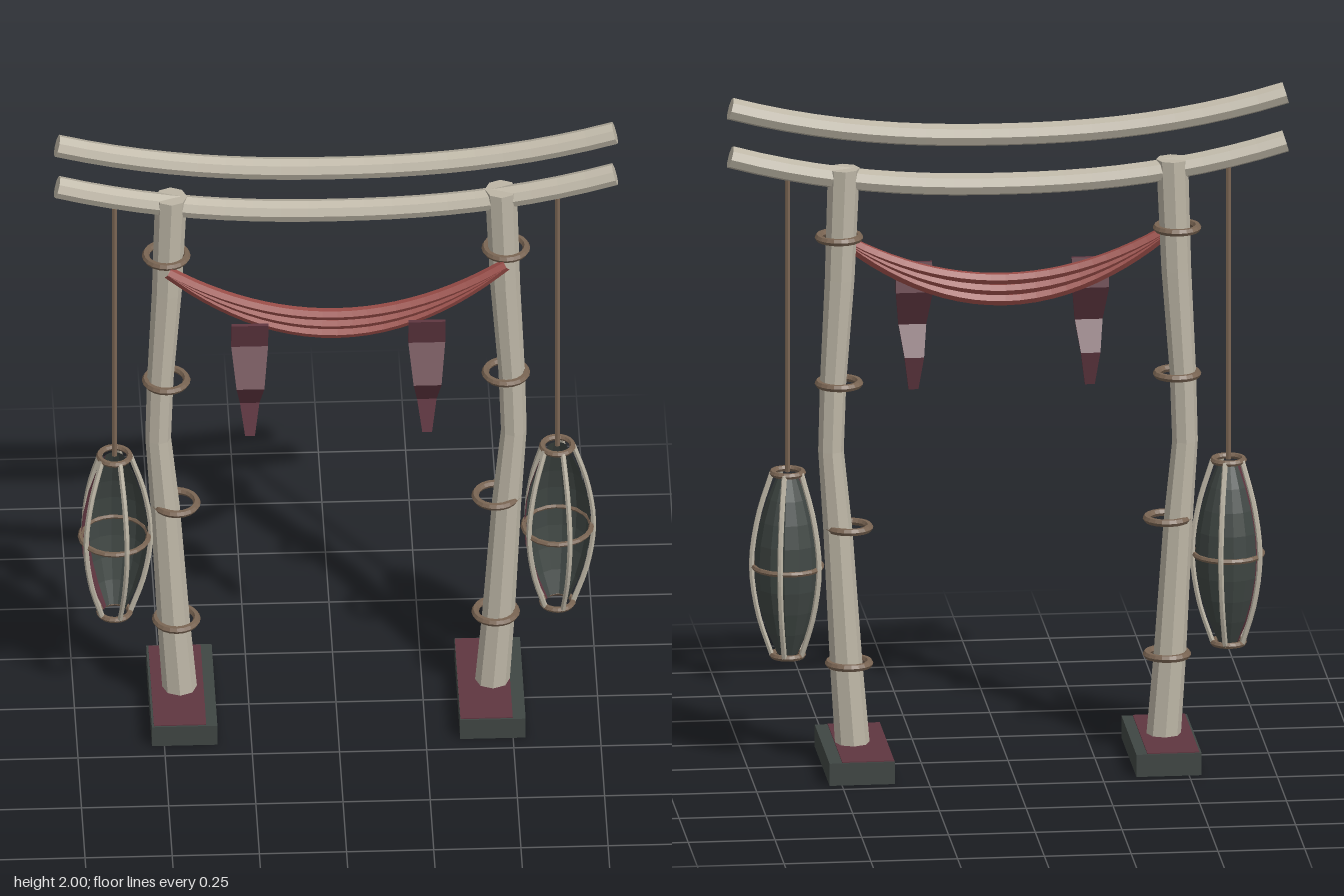
import * as THREE from 'three';

const mat = (name, color, extra = {}) =>
  Object.assign(new THREE.MeshStandardMaterial({ color, flatShading: true, ...extra }), { name });

export function createModel() {
  const root = new THREE.Group();
  root.name = 'hangingGate';
  const bone = mat('paleWood', 0xbdb6a6);
  const brown = mat('brownRope', 0x7a6553);
  const red = mat('redCloth', 0x9a4d48);
  const maroon = mat('maroonCloth', 0x5f3640, { side: THREE.DoubleSide });
  const dark = mat('darkStone', 0x3f4643, { side: THREE.DoubleSide });

  const add = (parent, name, geo, material, x = 0, y = 0, z = 0) => {
    const m = new THREE.Mesh(geo, material);
    m.name = name;
    m.position.set(x, y, z);
    parent.add(m);
    return m;
  };

  // Moves every vertex of a geometry by a rule
  const warp = (geo, rule) => {
    const p = geo.attributes.position;
    const v = new THREE.Vector3();
    for (let i = 0; i < p.count; i++) {
      rule(v.fromBufferAttribute(p, i));
      p.setXYZ(i, v.x, v.y, v.z);
    }
    geo.computeVertexNormals();
    return geo;
  };

  const ring = (parent, name, x, y, radius, tube) => {
    add(parent, name, new THREE.TorusGeometry(radius, tube, 6, 20), brown, x, y, 0).rotation.x = Math.PI / 2;
  };

  // Curved crossbeams, with ends square to the curve
  const beam = (name, y0, rise) => {
    const geo = new THREE.CylinderGeometry(0.033, 0.033, 1.6, 8, 20);
    geo.rotateZ(Math.PI / 2);
    warp(geo, (v) => {
      const u = Math.abs(v.x) / 0.8;
      const slope = Math.sign(v.x) * rise * 2.3 * u ** 1.3 / 0.8;
      const dy = v.y, len = Math.hypot(1, slope);
      v.x -= dy * slope / len;
      v.y = y0 + rise * u ** 2.3 + dy / len;
    });
    add(root, name, geo, bone);
  };
  beam('upperBeam', 1.867, 0.1);
  beam('lowerBeam', 1.72, 0.103);

  // Bowed posts: height, offset outward, radius
  const postRows = [
    [0.06, 0.448, 0.05], [0.3, 0.466, 0.047], [0.7, 0.49, 0.042], [0.94, 0.51, 0.037],
    [1.14, 0.504, 0.038], [1.45, 0.485, 0.043], [1.78, 0.473, 0.046],
  ];
  const ringSpots = [[0.305, 0.458], [0.71, 0.458], [1.14, 0.487], [1.575, 0.487]];

  for (const side of [-1, 1]) {
    const post = new THREE.Group();
    post.name = side < 0 ? 'rightPost' : 'leftPost';
    root.add(post);
    const geo = warp(new THREE.CylinderGeometry(1, 1, 6, 8, 6), (v) => {
      const [y, off, r] = postRows[Math.round(v.y + 3)];
      v.set(side * off + v.x * r, y, v.z * r);
    });
    add(post, 'postShaft', geo, bone);
    for (const [y, off] of ringSpots) ring(post, 'postRing', side * off, y, 0.059, 0.011);

    // Foot block with a painted top
    add(post, 'footBlock', new THREE.BoxGeometry(0.188, 0.066, 0.41), dark, side * 0.442, 0.033, -0.005);
    add(post, 'footTop', new THREE.BoxGeometry(0.15, 0.004, 0.4), maroon, side < 0 ? -0.455 : 0.424, 0.067, -0.005);

    // Hanging lantern pod
    const pod = new THREE.Group();
    pod.name = side < 0 ? 'rightPod' : 'leftPod';
    pod.position.x = side * 0.635;
    root.add(pod);
    add(pod, 'podRope', new THREE.CylinderGeometry(0.008, 0.008, 0.88, 6), brown, 0, 1.32, 0);
    ring(pod, 'podTopRing', 0, 0.878, 0.044, 0.009);
    ring(pod, 'podMiddleRing', 0, 0.6, 0.098, 0.008);
    ring(pod, 'podBottomRing', 0, 0.335, 0.044, 0.009);
    const ribCurve = new THREE.CatmullRomCurve3(
      [[0.045, 0.88], [0.085, 0.75], [0.104, 0.605], [0.085, 0.46], [0.045, 0.335]]
        .map(([x, y]) => new THREE.Vector3(x, y, 0)));
    const ribGeo = new THREE.TubeGeometry(ribCurve, 14, 0.008, 6);
    for (let i = 0; i < 5; i++) {
      add(pod, 'podRib', ribGeo, bone).rotation.y = i * Math.PI * 2 / 5;
    }
    // Half shell at the back, with a differently coloured strip at one edge
    const profile = [];
    for (let i = 0; i <= 8; i++) {
      const t = i / 8;
      profile.push(new THREE.Vector2(0.03 + 0.066 * Math.sin(Math.PI * t) ** 0.9, 0.34 + 0.53 * t));
    }
    const split = (side < 0 ? 40 : 22) * Math.PI / 180;
    add(pod, 'podShell', new THREE.LatheGeometry(profile, 6, Math.PI / 2, Math.PI - split), dark);
    add(pod, 'podShellStrip', new THREE.LatheGeometry(profile, 2, Math.PI * 1.5 - split, split), maroon);

    // Folded, tapering banner: height, depth, half width
    const rows = [
      [1.445, 0.172, 0.053], [1.36, 0.152, 0.053], [1.25, 0.21, 0.04],
      [1.165, 0.155, 0.028], [1.065, 0.178, 0.014],
    ];
    const banner = warp(new THREE.BoxGeometry(2, 4, 0.012, 1, 4, 1), (v) => {
      const [y, z, w] = rows[Math.round(2 - v.y)];
      v.set(v.x * w, y, z + v.z);
    });
    add(root, side < 0 ? 'rightBanner' : 'leftBanner', banner, maroon, side * 0.254);
  }

  // Draped garland: three strands gathered at the posts
  for (let k = -1; k <= 1; k++) {
    const pts = [];
    for (let i = 0; i <= 12; i++) {
      const u = i / 6 - 1, sag = 1 - u * u;
      pts.push(new THREE.Vector3(u * 0.485, 1.56 - sag * (0.178 + 0.031 * k), 0.064 + 0.018 * sag));
    }
    const curve = new THREE.CatmullRomCurve3(pts);
    add(root, 'garlandStrand', new THREE.TubeGeometry(curve, 24, 0.0175, 6), red);
  }
  return root;
}
